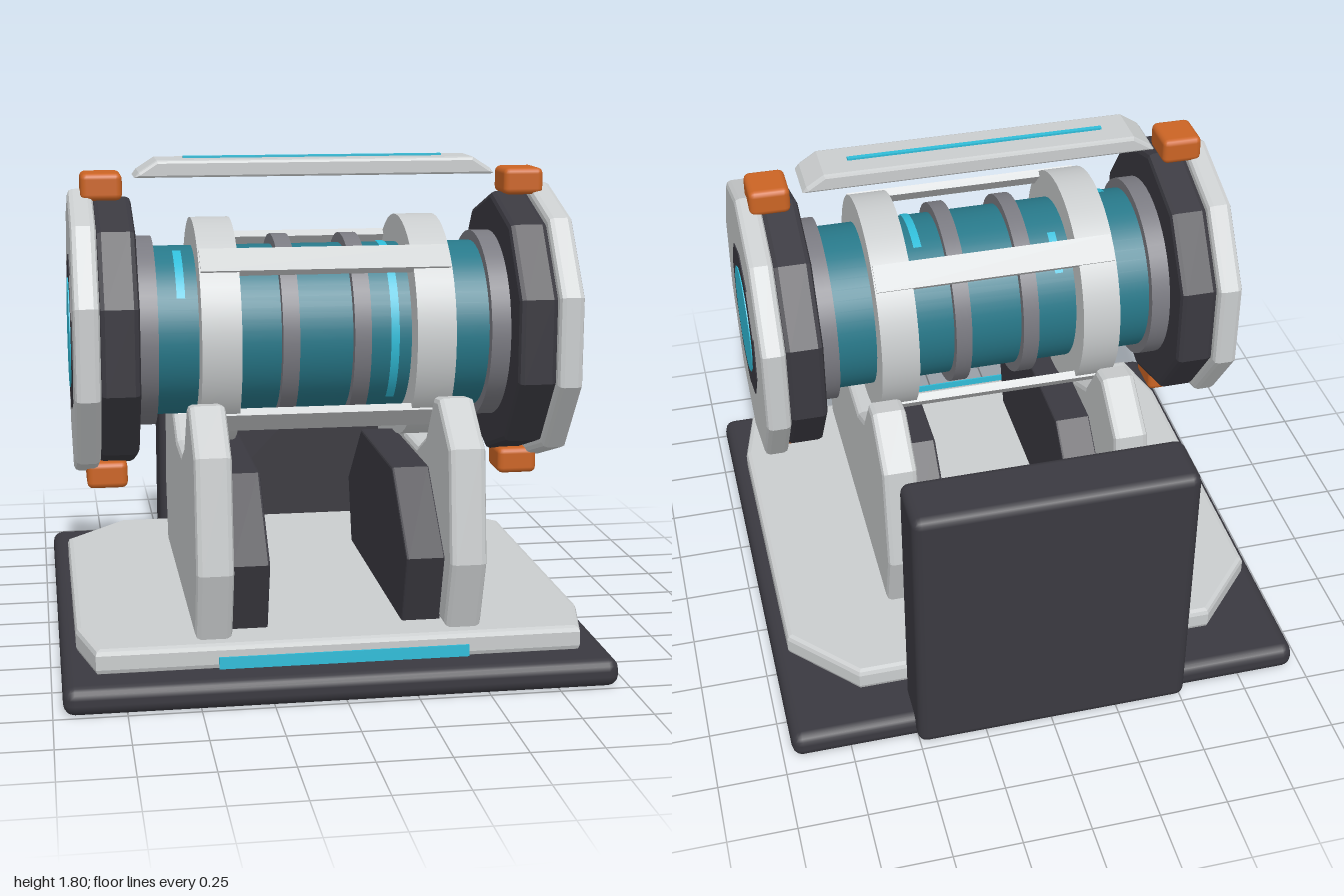
import * as THREE from 'three';
import { RoundedBoxGeometry } from 'three/addons/geometries/RoundedBoxGeometry.js';

const AXIS_Y = 1.172, AXIS_Z = 0.205; // centre line of the drum

const mat = (name, color) => {
  const m = new THREE.MeshStandardMaterial({ color });
  m.name = name;
  return m;
};

// Bevelled prism from outline points, centred on its thickness along z
function prism(points, depth, bevel) {
  const shape = new THREE.Shape(points.map(([x, y]) => new THREE.Vector2(x, y)));
  const g = new THREE.ExtrudeGeometry(shape, {
    depth: depth - 2 * bevel, bevelEnabled: bevel > 0, bevelThickness: bevel,
    bevelSize: bevel, bevelOffset: -bevel, bevelSegments: 2,
  });
  return g.translate(0, 0, bevel - depth / 2);
}

// Prism whose outline is given as [z, y] and whose thickness runs along x
const sidePrism = (points, depth, bevel) =>
  prism(points.map(([z, y]) => [-z, y]), depth, bevel).rotateY(Math.PI / 2);

// Regular polygon with a corner at the top, as [z, y] around the drum axis
const polygon = (n, r) => Array.from({ length: n }, (_, i) => {
  const a = (i / n) * Math.PI * 2;
  return [AXIS_Z + Math.sin(a) * r, AXIS_Y + Math.cos(a) * r];
});

export function createModel() {
  const model = new THREE.Group();
  model.name = 'cradledDrumDevice';
  const light = mat('lightGrey', 0xcacdce);
  const dark = mat('charcoal', 0x3a3940);
  const grey = mat('midGrey', 0x7b7b82);
  const teal = mat('teal', 0x28798a);
  const cyan = mat('cyan', 0x31bdd9);
  const orange = mat('orange', 0xcb6424);

  const add = (name, geometry, material, x = 0, y = 0, z = 0) => {
    const m = new THREE.Mesh(geometry, material);
    m.name = name;
    m.position.set(x, y, z);
    model.add(m);
    return m;
  };
  const roundBox = (w, h, d, r) => new RoundedBoxGeometry(w, h, d, 2, r);
  // Cylinder lying along x on the drum axis
  const drum = (name, r, length, material, x = 0) =>
    add(name, new THREE.CylinderGeometry(r, r, length, 48).rotateZ(Math.PI / 2), material, x, AXIS_Y, AXIS_Z);

  // Base slab, deck and rear panel
  add('baseSlab', roundBox(1.93, 0.1, 1.94, 0.04), dark, 0, 0.05, 0.03);
  const deck = [[-0.85, 0.88], [0.85, 0.88], [0.91, 0.63], [0.91, -0.5],
    [0.68, -0.75], [-0.68, -0.75], [-0.91, -0.5], [-0.91, 0.63]];
  add('deckPlate', prism(deck.map(([x, z]) => [x, -z]), 0.09, 0.02).rotateX(-Math.PI / 2), light, 0, 0.145, 0);
  add('rearPanel', roundBox(1.02, 1.07, 0.235, 0.035), dark, 0, 0.555, -0.88);
  add('frontLightStrip', new THREE.BoxGeometry(0.87, 0.042, 0.006), cyan, 0, 0.145, 0.937);

  // Cradle supports and inner buttresses, mirrored
  const cradle = [[0.82, 0.19], [0.9, 0.44], [0.85, 0.84], [0.66, 0.98], [0.58, 0.97], [0.46, 0.8], [0.32, 0.73],
    [0.1, 0.73], [-0.04, 0.8], [-0.16, 0.97], [-0.24, 0.98], [-0.43, 0.84], [-0.48, 0.44], [-0.4, 0.19]];
  const buttress = [[0.72, 0.18], [0.8, 0.44], [0.52, 0.7], [-0.1, 0.7], [-0.38, 0.44], [-0.3, 0.18]];
  for (const s of [-1, 1]) {
    add('cradleSupport', sidePrism(cradle, 0.13, 0.02), light, s * 0.44, 0, 0);
    add('buttress', sidePrism(buttress, 0.14, 0.008), dark, s * 0.31, 0, 0);
  }

  // Drum with its bands
  drum('drumBody', 0.308, 1.3, teal);
  for (const s of [-1, 1]) {
    drum('thinBand', 0.345, 0.06, grey, s * 0.128);
    drum('wideBand', 0.41, 0.14, light, s * 0.38);
    drum('endCollar', 0.345, 0.08, grey, s * 0.635);
  }

  // Long clamp bars at the four diagonals
  for (let i = 0; i < 4; i++) {
    const a = Math.PI / 4 + (i * Math.PI) / 2;
    const bar = add('clampBar', new THREE.BoxGeometry(0.89, 0.03, 0.1), light,
      0, AXIS_Y + Math.cos(a) * 0.4, AXIS_Z + Math.sin(a) * 0.4);
    bar.rotation.x = a;
  }

  // Glowing arcs on the drum: x, start and end angle from the top towards the front
  for (const [x, from, to] of [[-0.51, 15, 60], [0.25, -22, 138], [-0.255, -54, -24]]) {
    const start = THREE.MathUtils.degToRad(90 - to), span = THREE.MathUtils.degToRad(to - from);
    add('glowArc', new THREE.CylinderGeometry(0.312, 0.312, 0.03, 32, 1, true, start, span).rotateZ(Math.PI / 2),
      cyan, x, AXIS_Y, AXIS_Z);
  }

  // Ten-sided end caps with hub, lens and clips
  for (const s of [-1, 1]) {
    add('endFlange', sidePrism(polygon(10, 0.49), 0.14, 0.02), dark, s * 0.735, 0, 0);
    add('endPlate', sidePrism(polygon(10, 0.52), 0.09, 0.02), light, s * 0.847, 0, 0);
    add('hubRing', sidePrism(polygon(10, 0.285), 0.09, 0), dark, s * 0.851, 0, 0);
    const lens = new THREE.CylinderGeometry(0.2, 0.2, 0.006, 20).rotateZ(Math.PI / 2);
    add('endLens', lens, cyan, s * 0.897, AXIS_Y, AXIS_Z);
    for (const y of [1.703, 0.648])
      add('clip', roundBox(0.148, 0.098, 0.165, 0.022), orange, s * 0.772, y, AXIS_Z);
  }

  // Floating top rail
  const rail = [[-0.655, 1.735], [0.655, 1.735], [0.64, 1.755], [0.575, 1.797], [-0.575, 1.797], [-0.64, 1.755]];
  add('topRail', prism(rail, 0.195, 0.012), light, 0, 0, AXIS_Z);
  add('railLightStrip', new THREE.BoxGeometry(0.95, 0.009, 0.018), cyan, 0, 1.8, AXIS_Z);

  return model;
}
